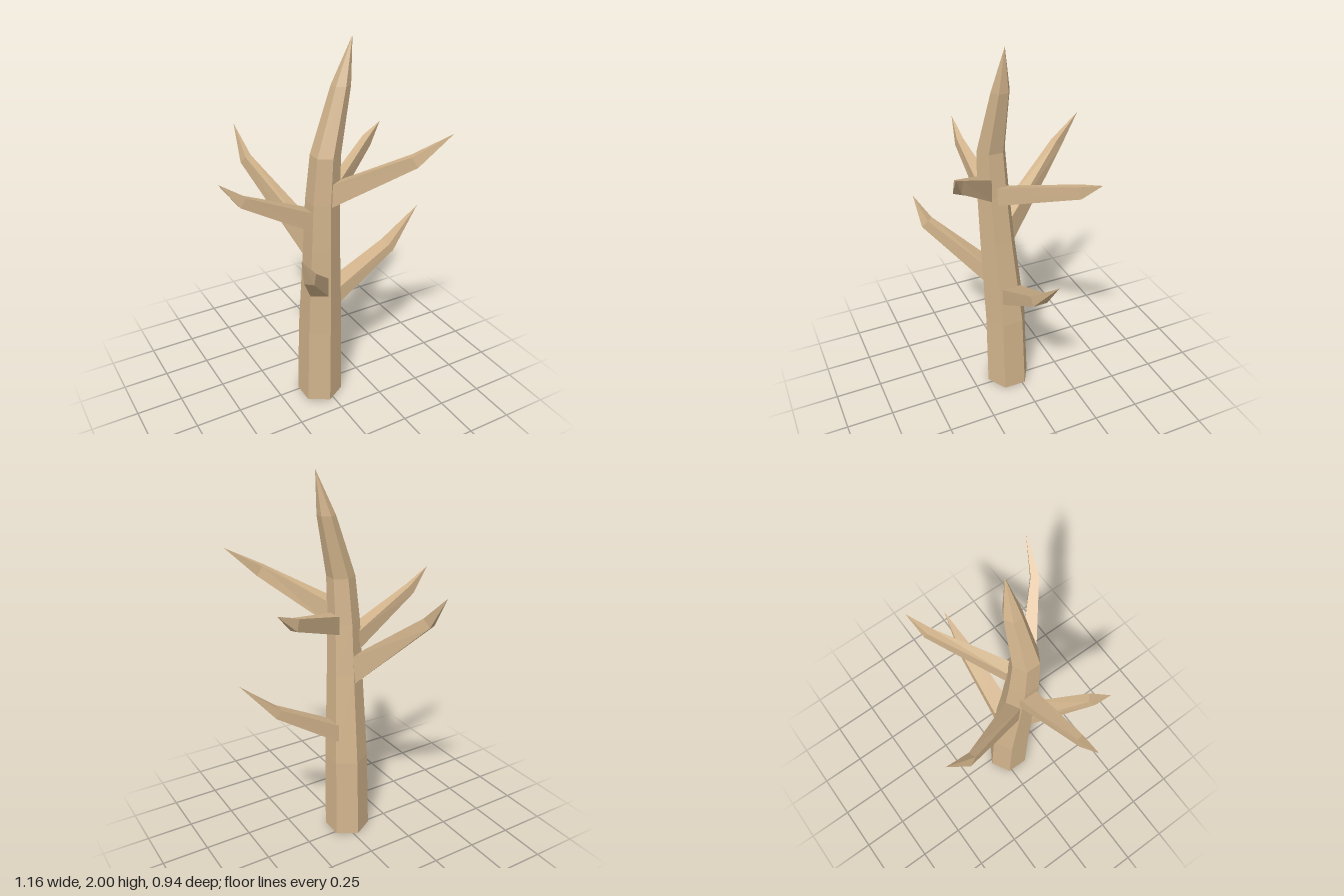
import * as THREE from 'three';

const bark = new THREE.MeshStandardMaterial({ color: 0xd2b48c, flatShading: true, roughness: 1 });
const V = (a) => new THREE.Vector3(...a);

// Skin a stack of rings up to a pointed tip; rings run counter-clockwise seen from the tip.
function spike(name, rings, tip) {
  const pos = [];
  const tri = (...pts) => pts.forEach((p) => pos.push(p.x, p.y, p.z));
  const n = rings[0].length;
  for (let i = 0; i < n; i++) {
    const j = (i + 1) % n;
    for (let k = 0; k < rings.length - 1; k++) {
      const lo = rings[k], hi = rings[k + 1];
      tri(lo[i], lo[j], hi[j]);
      tri(lo[i], hi[j], hi[i]);
    }
    const top = rings[rings.length - 1];
    tri(top[i], top[j], tip);
    if (i > 0 && j > 0) tri(rings[0][0], rings[0][j], rings[0][i]); // base cap
  }
  const geo = new THREE.BufferGeometry();
  geo.setAttribute('position', new THREE.Float32BufferAttribute(pos, 3));
  geo.computeVertexNormals();
  const mesh = new THREE.Mesh(geo, bark);
  mesh.name = name;
  return mesh;
}

// Horizontal hexagon with corners on +z and -z.
function hexRing([x, y, z, r]) {
  return Array.from({ length: 6 }, (_, i) => {
    const a = Math.PI / 6 + (i * Math.PI) / 3;
    return new THREE.Vector3(x + r * Math.cos(a), y, z - r * Math.sin(a));
  });
}

// Rectangle of half-width w and half-height h, facing along dir.
function quadRing(center, dir, w, h) {
  const side = new THREE.Vector3(0, 1, 0).cross(dir).normalize();
  const up = dir.clone().cross(side).normalize();
  return [[1, 1], [-1, 1], [-1, -1], [1, -1]].map(([s, u]) =>
    center.clone().addScaledVector(side, s * w).addScaledVector(up, u * h));
}

// Branch growing out of a trunk facet (azimuth in degrees from +x towards +z).
function branch({ name, facet, base, mid, tip, w, h, midW, midH }) {
  const a = THREE.MathUtils.degToRad(facet);
  const out = new THREE.Vector3(Math.cos(a), 0, Math.sin(a));
  const b = V(base).addScaledVector(out, -0.012), m = V(mid), t = V(tip);
  const dir = t.clone().sub(b).normalize();
  return spike(name, [quadRing(b, out, w, h), quadRing(m, dir, midW, midH)], t);
}

export function createModel() {
  const tree = new THREE.Group();
  tree.name = 'bareTree';

  // Trunk: x, y, z, radius of each hexagon
  const trunk = [
    [-0.025, 0, 0.045, 0.122],
    [-0.027, 0.45, 0.055, 0.115],
    [-0.04, 0.95, 0.092, 0.094],
    [-0.045, 1.22, 0.108, 0.085],
    [-0.036, 1.46, 0.12, 0.074],
    [0.053, 1.78, 0.105, 0.047],
  ];
  tree.add(spike('trunk', trunk.map(hexRing), new THREE.Vector3(0.11, 2, 0.105)));

  // Branches
  [
    { name: 'lowerLeftBranch', facet: 0, base: [0.062, 0.625, 0.055], mid: [0.39, 0.828, 0.058],
      tip: [0.58, 1.02, 0.052], w: 0.052, h: 0.05, midW: 0.037, midH: 0.025 },
    { name: 'upperFrontBranch', facet: 60, base: [0.0, 1.265, 0.175], mid: [0.275, 1.465, 0.405],
      tip: [0.44, 1.59, 0.47], w: 0.04, h: 0.06, midW: 0.02, midH: 0.03 },
    { name: 'upperBackBranch', facet: 0, base: [0.026, 1.22, 0.088], mid: [0.375, 1.365, -0.155],
      tip: [0.485, 1.44, -0.2], w: 0.038, h: 0.05, midW: 0.018, midH: 0.03 },
    { name: 'backBranch', facet: 240, base: [-0.083, 0.97, 0.018], mid: [-0.245, 1.315, -0.345],
      tip: [-0.25, 1.47, -0.47], w: 0.042, h: 0.08, midW: 0.019, midH: 0.028 },
    { name: 'upperRightBranch', facet: 180, base: [-0.12, 1.12, 0.092], mid: [-0.475, 1.315, 0.122],
      tip: [-0.585, 1.425, 0.12], w: 0.045, h: 0.052, midW: 0.018, midH: 0.026 },
    { name: 'lowerFrontBranch', facet: 120, base: [-0.078, 0.735, 0.145], mid: [-0.272, 0.99, 0.395],
      tip: [-0.34, 1.125, 0.44], w: 0.048, h: 0.055, midW: 0.024, midH: 0.027 },
  ].forEach((spec) => tree.add(branch(spec)));

  return tree;
}
